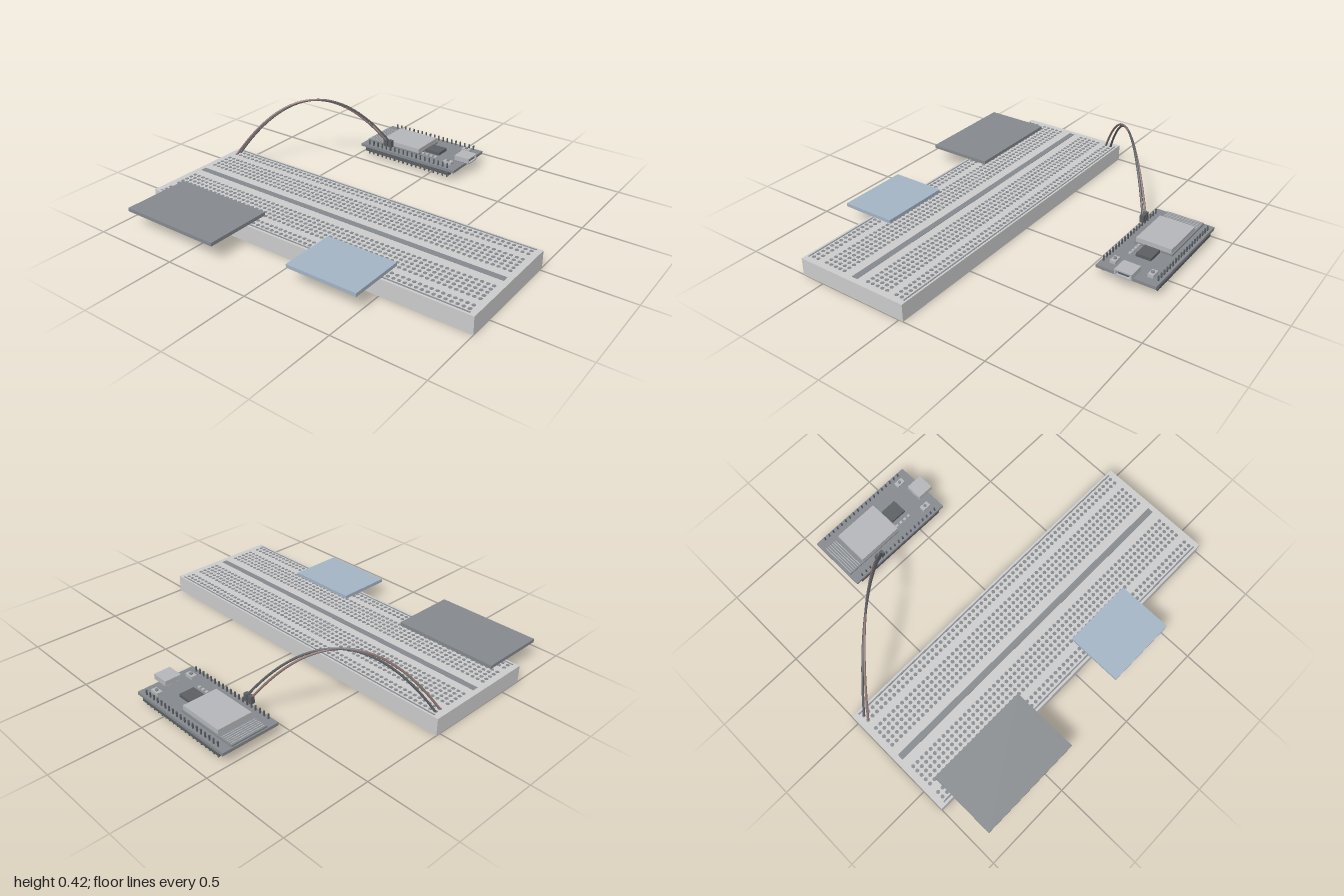
import * as THREE from 'three';
import { mergeGeometries } from 'three/addons/utils/BufferGeometryUtils.js';

const mat = (color) => new THREE.MeshStandardMaterial({ color });
const light = mat(0xcccccc);
const dark = mat(0x85898d);
const darker = mat(0x5c5f63);
const mid = mat(0xb4b6b9);
const blue = mat(0xa3b4c4);
const red = mat(0x8a7270);

// Box geometry from min/max ranges
function span(x0, x1, y0, y1, z0, z1) {
  return new THREE.BoxGeometry(x1 - x0, y1 - y0, z1 - z0)
    .translate((x0 + x1) / 2, (y0 + y1) / 2, (z0 + z1) / 2);
}

function add(group, name, geometry, material) {
  const mesh = new THREE.Mesh(geometry, material);
  mesh.name = name;
  group.add(mesh);
  return mesh;
}

const PITCH = 0.0308;

function breadboard() {
  const g = new THREE.Group();
  g.name = 'breadboard';
  const top = 0.097;
  add(g, 'base', span(-1, 1, 0, top, -0.025, 0.637), light);

  // Contact holes: two power rails and two five-row blocks
  const rows = [0.014, 0.046, 0.565, 0.597];
  for (let i = 0; i < 5; i++) rows.push(0.105 + i * PITCH, 0.383 + i * PITCH);
  const hole = new THREE.CylinderGeometry(0.0105, 0.0105, 0.002, 8);
  const holes = [];
  for (const z of rows) {
    for (let i = -31; i <= 31; i++) holes.push(hole.clone().translate(i * PITCH, top + 0.0005, z));
  }
  add(g, 'holes', mergeGeometries(holes), dark);

  // Centre channel and rail lines
  add(g, 'centreChannel', span(-0.97, 0.97, top - 0.002, top + 0.0015, 0.286, 0.321), dark);
  for (const z of [-0.01, 0.62]) {
    add(g, 'railLine', span(-0.97, 0.97, top - 0.002, top + 0.0015, z - 0.004, z + 0.004), dark);
  }
  return g;
}

function controllerBoard() {
  const g = new THREE.Group();
  g.name = 'controllerBoard';
  const y = 0.071; // top of the circuit board
  add(g, 'circuitBoard', span(-0.485, 0.175, 0.054, y, -0.895, -0.56), dark);

  // Header strips and pins along both long edges
  for (const z of [-0.878, -0.574]) {
    add(g, 'headerStrip', span(-0.452, 0.142, 0.031, 0.054, z - 0.013, z + 0.013), darker);
    const pins = [];
    for (let i = -9; i <= 9; i++) {
      const x = -0.155 + i * PITCH;
      pins.push(span(x - 0.0035, x + 0.0035, 0.012, 0.1, z - 0.0035, z + 0.0035));
    }
    add(g, 'headerPins', mergeGeometries(pins), darker);
  }

  // Radio module with metal shield and antenna traces
  add(g, 'moduleBoard', span(-0.478, -0.105, y, y + 0.009, -0.838, -0.622), dark);
  add(g, 'shield', span(-0.375, -0.11, y + 0.009, 0.106, -0.83, -0.628), mid);
  for (let i = 0; i < 6; i++) {
    const x = -0.467 + i * 0.0135;
    add(g, 'antennaTrace', span(x - 0.002, x + 0.002, y + 0.008, y + 0.011, -0.83, -0.628), mid);
  }

  // Chip, small components, buttons and socket
  add(g, 'chip', span(-0.098, -0.003, y, y + 0.018, -0.772, -0.686), darker);
  for (let i = 0; i < 4; i++) {
    const x = -0.094 + i * 0.029;
    add(g, 'smallComponent', span(x - 0.008, x + 0.008, y, y + 0.008, -0.66, -0.646), mid);
  }
  for (const z of [-0.835, -0.625]) {
    add(g, 'buttonBody', span(0.072, 0.124, y, y + 0.018, z - 0.016, z + 0.016), mid);
    const cap = new THREE.CylinderGeometry(0.009, 0.009, 0.008, 12).translate(0.098, y + 0.022, z);
    add(g, 'buttonCap', cap, dark);
  }

  // Socket shell, extruded along x with its opening at the end
  const shell = new THREE.Shape();
  shell.moveTo(-0.048, 0.006).lineTo(-0.04, 0).lineTo(0.04, 0).lineTo(0.048, 0.006)
    .lineTo(0.048, 0.036).lineTo(-0.048, 0.036).closePath();
  const opening = new THREE.Path();
  opening.moveTo(-0.04, 0.007).lineTo(-0.04, 0.029).lineTo(0.04, 0.029).lineTo(0.04, 0.007).closePath();
  shell.holes.push(opening);
  const socket = new THREE.ExtrudeGeometry(shell, { depth: 0.095, bevelEnabled: false })
    .rotateY(Math.PI / 2).translate(0.108, y, -0.727);
  add(g, 'socketShell', socket, mid);
  add(g, 'socketBack', span(0.109, 0.16, y + 0.005, y + 0.031, -0.769, -0.685), mid);
  add(g, 'socketTongue', span(0.16, 0.198, y + 0.014, y + 0.021, -0.757, -0.697), darker);
  return g;
}

// Arched jumper wire from the board to a header pin
function jumper(z0, x1, material) {
  const g = new THREE.Group();
  g.name = 'jumperWire';
  const start = new THREE.Vector3(-0.955, 0.095, z0);
  const end = new THREE.Vector3(x1, 0.125, -0.574);
  const peak = start.clone().add(end).multiplyScalar(0.5).setY(0.722);
  const arch = new THREE.QuadraticBezierCurve3(start, peak, end);
  add(g, 'wire', new THREE.TubeGeometry(arch, 40, 0.0062, 8), material);
  add(g, 'connector', span(x1 - 0.012, x1 + 0.012, 0.098, 0.14, -0.586, -0.562), darker);
  return g;
}

export function createModel() {
  const model = new THREE.Group();
  model.name = 'breadboardKit';
  model.add(breadboard(), controllerBoard());
  model.add(jumper(0.046, -0.309, red), jumper(0.014, -0.278, darker));

  // Flat plates overhanging the front edge
  add(model, 'darkPlate', span(-0.918, -0.315, 0.098, 0.118, 0.503, 0.887), dark);
  add(model, 'bluePlate', span(0.1, 0.508, 0.098, 0.118, 0.503, 0.817), blue);
  return model;
}
